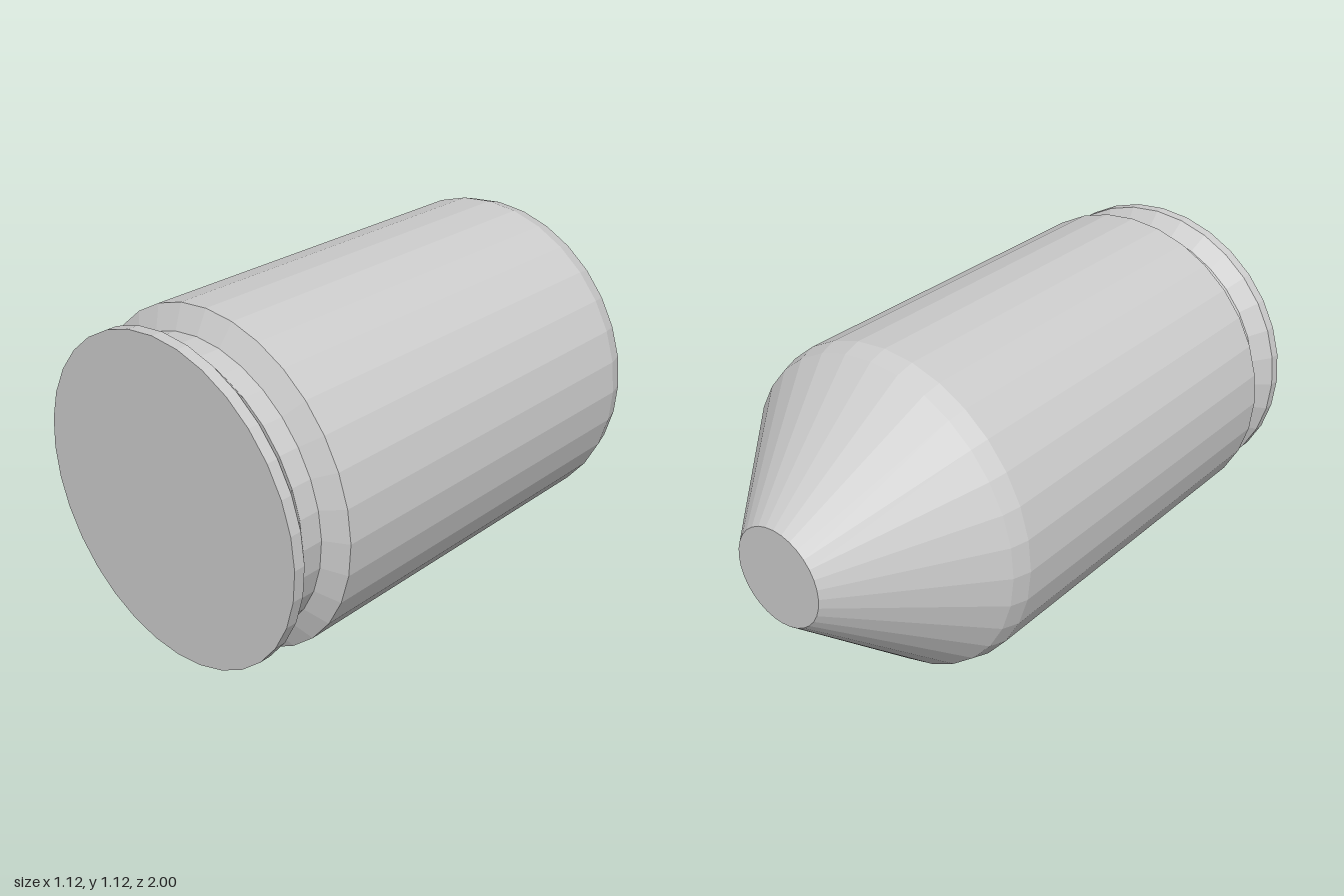
import * as THREE from 'three';

const SIDES = 32;
const AXIS_HEIGHT = 0.56;

// Revolves [radius, z] points (ordered from back to front) around the z axis.
function turned(name, profile, material) {
  const points = profile.map(([r, z]) => new THREE.Vector2(r, z));
  const geometry = new THREE.LatheGeometry(points, SIDES);
  geometry.rotateX(Math.PI / 2);
  const mesh = new THREE.Mesh(geometry, material);
  mesh.name = name;
  mesh.position.y = AXIS_HEIGHT;
  return mesh;
}

export function createModel() {
  const group = new THREE.Group();
  group.name = 'cartridge';
  const metal = new THREE.MeshStandardMaterial({ color: 0xcccccc, flatShading: true });

  // Blunt conical tip at the back
  group.add(turned('tip', [[0, -1], [0.169, -1], [0.542, -0.567]], metal));

  // Straight casing with a bevelled mouth and a bevel down to the groove
  group.add(turned('casing', [[0.542, -0.567], [0.56, -0.507], [0.56, 0.8], [0.484, 0.84]], metal));

  // Extraction groove
  group.add(turned('groove', [[0.484, 0.84], [0.484, 0.912]], metal));

  // Rim with its flat closed base at the front
  group.add(turned('rim', [[0.484, 0.912], [0.539, 0.962], [0.539, 1], [0, 1]], metal));

  return group;
}
